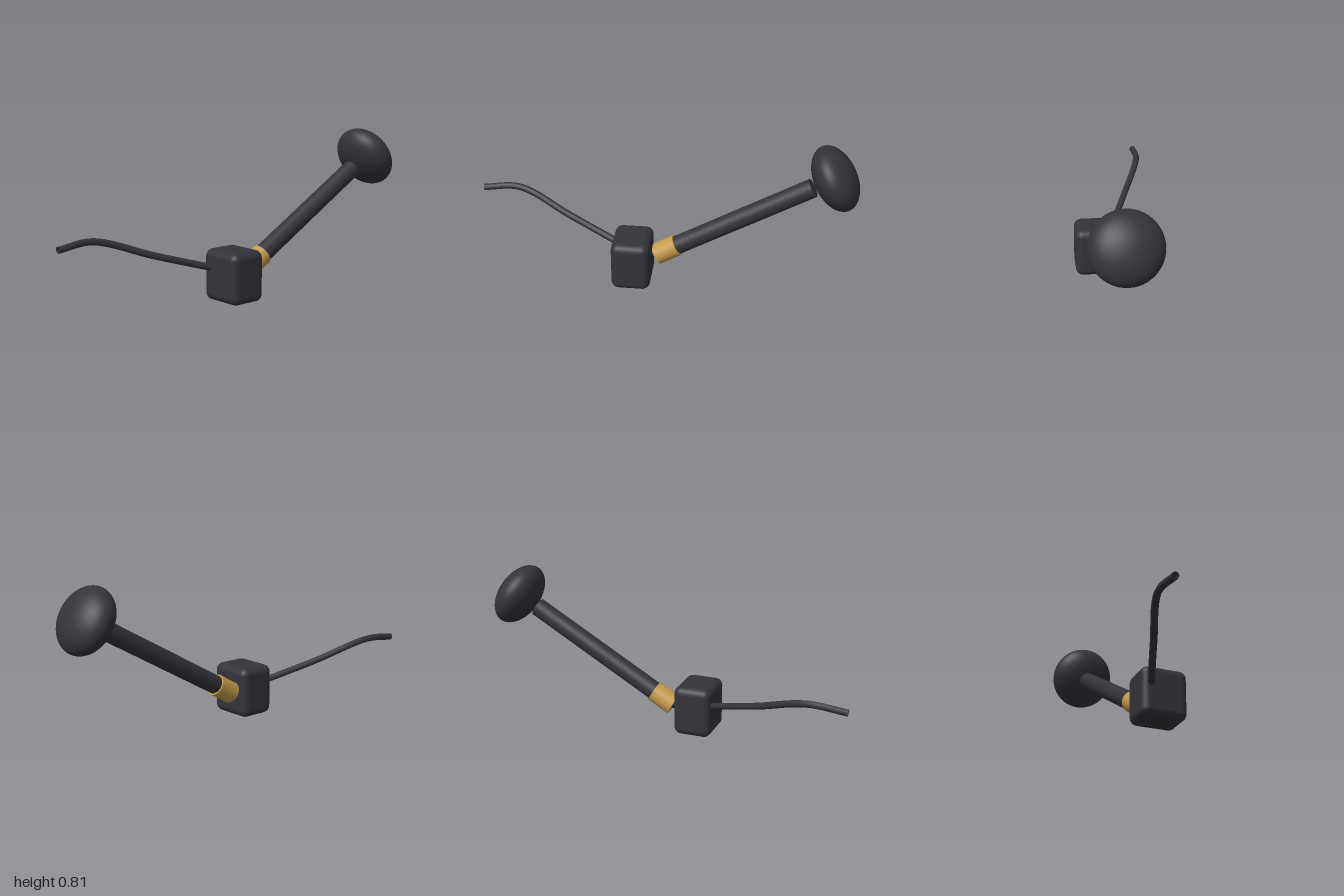
import * as THREE from 'three';
import { RoundedBoxGeometry } from 'three/addons/geometries/RoundedBoxGeometry.js';

export function createModel() {
  const group = new THREE.Group();
  const dark = new THREE.MeshStandardMaterial({ color: 0x33333a, side: THREE.DoubleSide });
  dark.name = 'darkPlastic';
  const brass = new THREE.MeshStandardMaterial({ color: 0xc39a4c });
  brass.name = 'brass';

  const add = (name, geometry, material, parent = group) => {
    const mesh = new THREE.Mesh(geometry, material);
    mesh.name = name;
    parent.add(mesh);
    return mesh;
  };

  // rounded housing
  add('housing', new RoundedBoxGeometry(0.247, 0.267, 0.203, 5, 0.04), dark)
    .position.set(0.089, 0.1335, 0.1445);

  // short pivot between housing and collar
  const pivot = add('pivot', new THREE.CylinderGeometry(0.035, 0.035, 0.08, 24), dark);
  pivot.rotation.x = Math.PI / 2;
  pivot.position.set(0.047, 0.155, 0.025);

  // lever: local y runs along the shaft, tilted back 60 degrees from vertical
  const lever = new THREE.Group();
  lever.name = 'lever';
  lever.position.set(0.047, 0.137, 0.02);
  lever.rotation.x = -Math.PI / 3;
  group.add(lever);

  add('collar', new THREE.CylinderGeometry(0.057, 0.057, 0.125, 32), brass, lever)
    .position.y = 0.0625;
  add('shaft', new THREE.CylinderGeometry(0.049, 0.049, 0.9, 32), dark, lever)
    .position.y = 0.46;

  // flattened round knob, just clear of the shaft end
  const knob = add('knob', new THREE.SphereGeometry(0.174, 48, 32), dark, lever);
  knob.scale.y = 0.6;
  knob.position.y = 1.032;

  // open-ended cable curving out of the front
  const path = new THREE.CatmullRomCurve3([
    new THREE.Vector3(0.02, 0.168, 0.22),
    new THREE.Vector3(-0.092, 0.255, 0.51),
    new THREE.Vector3(-0.197, 0.35, 0.8),
    new THREE.Vector3(-0.2, 0.335, 1.0),
  ]);
  add('cable', new THREE.TubeGeometry(path, 40, 0.018, 8, false), dark);

  return group;
}
